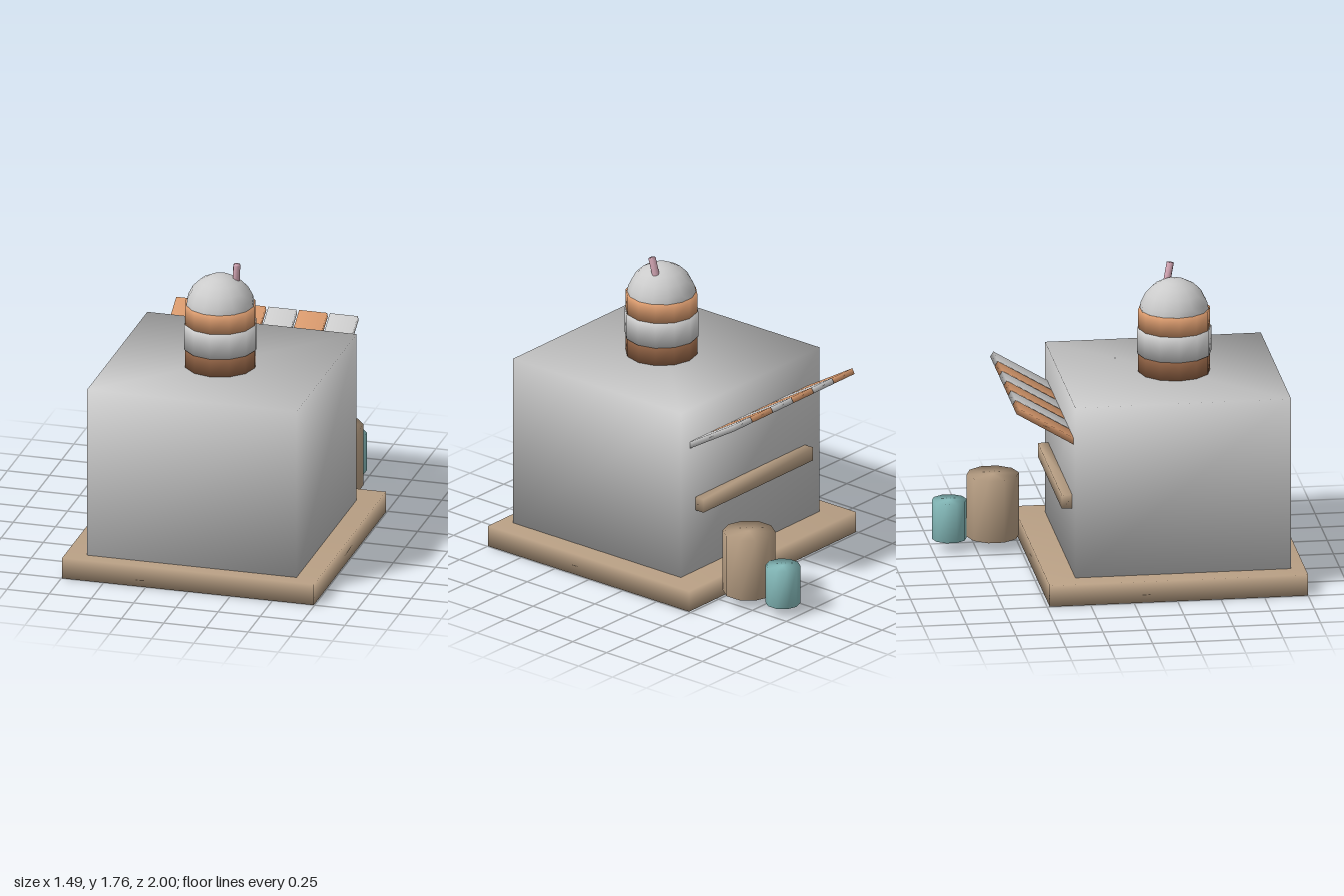
import * as THREE from 'three';
import { mergeVertices } from 'three/addons/utils/BufferGeometryUtils.js';

const GREY = 0xcccccc, TAN = 0xb89f84, ORANGE = 0xd6986c, BROWN = 0x8c5f42, TEAL = 0x86bcbc, PINK = 0xd8aab8;

// Weld shared corners so the shading rolls softly over every edge
function soften(geometry) {
  geometry.deleteAttribute('uv');
  geometry.deleteAttribute('normal');
  const welded = mergeVertices(geometry, 1e-4);
  welded.computeVertexNormals();
  return welded;
}

function part(name, geometry, color, x, y, z) {
  const mesh = new THREE.Mesh(soften(geometry), new THREE.MeshStandardMaterial({ color }));
  mesh.name = name;
  mesh.position.set(x, y, z);
  return mesh;
}

// Upright prism standing on y0 and reaching y1
function drum(name, color, radius, sides, x, y0, y1, z) {
  const geometry = new THREE.CylinderGeometry(radius, radius, y1 - y0, sides);
  return part(name, geometry, color, x, (y0 + y1) / 2, z);
}

export function createModel() {
  const model = new THREE.Group();
  model.name = 'dessertKiosk';

  // Deck and building
  model.add(part('deck', new THREE.BoxGeometry(1.49, 0.125, 1.485), TAN, 0, 0.0625, 0.2575));
  model.add(part('building', new THREE.BoxGeometry(1.24, 1.015, 1.24), GREY, 0, 0.6325, 0.3));

  // Layered dessert on the roof
  const dessert = new THREE.Group();
  dessert.name = 'roofDessert';
  const cz = 0.335;
  dessert.add(
    drum('cupBase', BROWN, 0.207, 12, 0, 1.13, 1.255, cz),
    drum('creamLayer', GREY, 0.213, 12, 0, 1.25, 1.4, cz),
    drum('caramelLayer', ORANGE, 0.207, 12, 0, 1.4, 1.512, cz),
    part('scoop', new THREE.SphereGeometry(0.2, 14, 10), GREY, 0, 1.487, cz)
  );

  // Straw leaning out of the scoop
  const bottom = new THREE.Vector3(0.079, 1.58, 0.292);
  const top = new THREE.Vector3(0.096, 1.755, 0.326);
  const axis = top.clone().sub(bottom);
  const straw = part('straw', new THREE.CylinderGeometry(0.021, 0.021, axis.length(), 8), PINK,
    ...bottom.clone().add(top).multiplyScalar(0.5).toArray());
  straw.quaternion.setFromUnitVectors(new THREE.Vector3(0, 1, 0), axis.normalize());
  dessert.add(straw);
  model.add(dessert);

  // Striped awning rising away from the back wall
  const awning = new THREE.Group();
  awning.name = 'awning';
  awning.position.set(0, 1.01, -0.475);
  awning.rotation.x = 0.54;
  for (let i = 0; i < 6; i++) {
    awning.add(part('awningSlat', new THREE.BoxGeometry(0.165, 0.035, 0.38),
      i % 2 ? GREY : ORANGE, -0.455 + i * 0.182, 0, 0));
  }
  model.add(awning);

  // Serving shelf below the awning
  model.add(part('servingShelf', new THREE.BoxGeometry(0.98, 0.08, 0.08), TAN, 0, 0.54, -0.34));

  // Containers behind the deck
  model.add(drum('barrel', TAN, 0.15, 10, 0.41, 0.065, 0.435, -0.65));
  model.add(drum('bucket', TEAL, 0.1, 10, 0.41, 0.06, 0.29, -0.9));

  return model;
}
